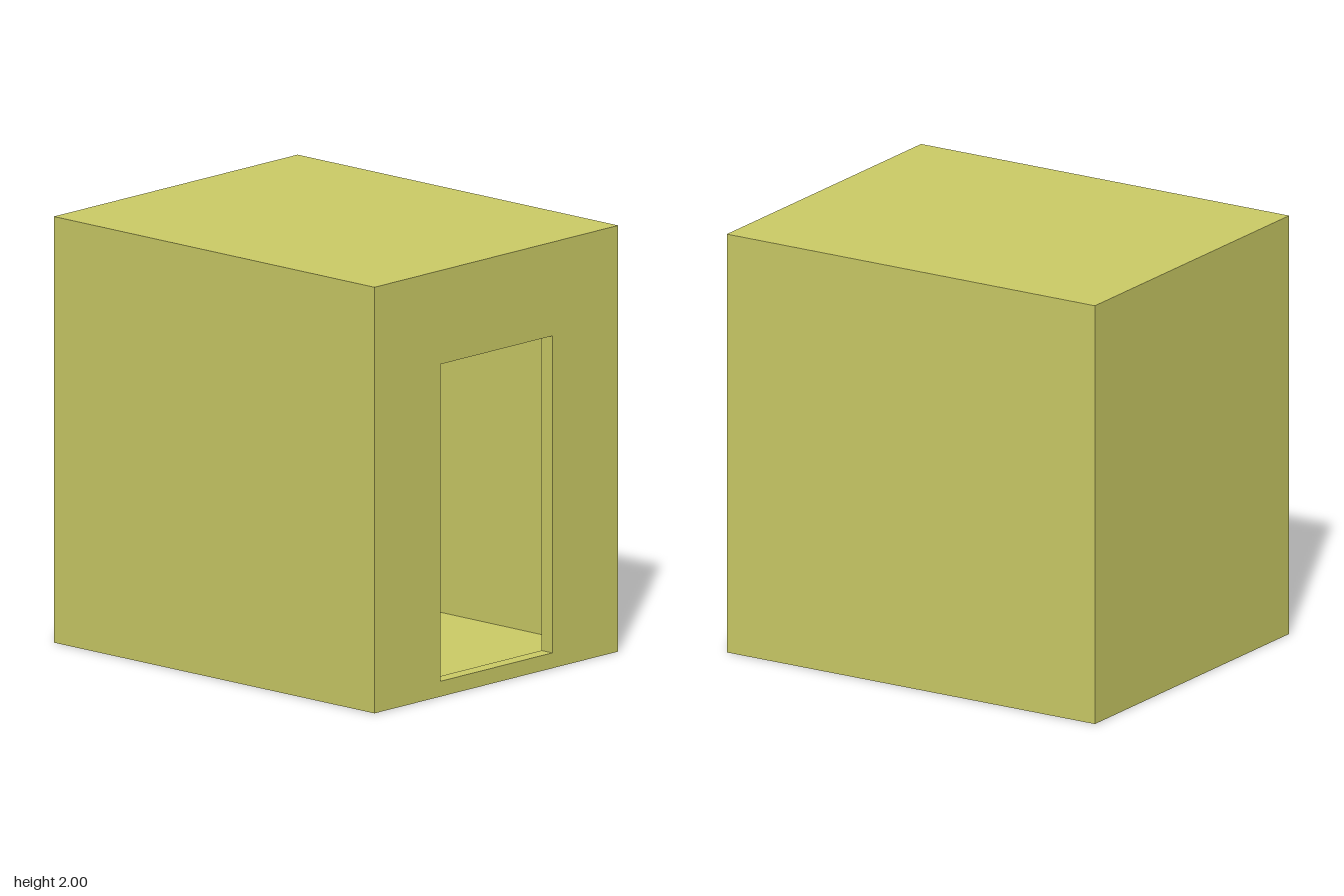
import * as THREE from 'three';

const W = 2, H = 2, D = 1.63;                       // room size
const DOOR = { half: 0.374, bottom: 0.072, top: 1.56, depth: 0.068 };

export function createModel() {
  const room = new THREE.Group();
  room.name = 'room';
  const material = new THREE.MeshStandardMaterial({ color: 0xcccc66, side: THREE.DoubleSide });

  const add = (name, geometry, x, y, z, rx = 0, ry = 0) => {
    const mesh = new THREE.Mesh(geometry, material);
    mesh.name = name;
    mesh.position.set(x, y, z);
    mesh.rotation.set(rx, ry, 0);
    room.add(mesh);
  };
  const panel = (name, w, h, ...place) => add(name, new THREE.PlaneGeometry(w, h), ...place);
  const q = Math.PI / 2;

  // Thin outer shell
  panel('frontWall', W, H, 0, H / 2, D / 2);
  panel('backWall', W, H, 0, H / 2, -D / 2, 0, Math.PI);
  panel('leftOuterWall', D, H, -W / 2, H / 2, 0, 0, -q);
  panel('roof', W, D, 0, H, 0, -q);
  panel('floor', W, D, 0, 0, 0, q);

  // Wall with the doorway cut out
  const { half, bottom, top, depth } = DOOR;
  const wall = new THREE.Shape([[-D / 2, 0], [D / 2, 0], [D / 2, H], [-D / 2, H]].map(p => new THREE.Vector2(...p)));
  wall.holes.push(new THREE.Path([[-half, bottom], [-half, top], [half, top], [half, bottom]].map(p => new THREE.Vector2(...p))));
  add('doorWall', new THREE.ShapeGeometry(wall), W / 2, 0, 0, 0, q);

  // Doorway lining, turned inwards
  const x = W / 2 - depth / 2, mid = (top + bottom) / 2;
  panel('doorSill', depth, half * 2, x, bottom, 0, -q);
  panel('doorHead', depth, half * 2, x, top, 0, q);
  panel('doorJambFront', depth, top - bottom, x, mid, half, 0, Math.PI);
  panel('doorJambBack', depth, top - bottom, x, mid, -half);

  return room;
}
